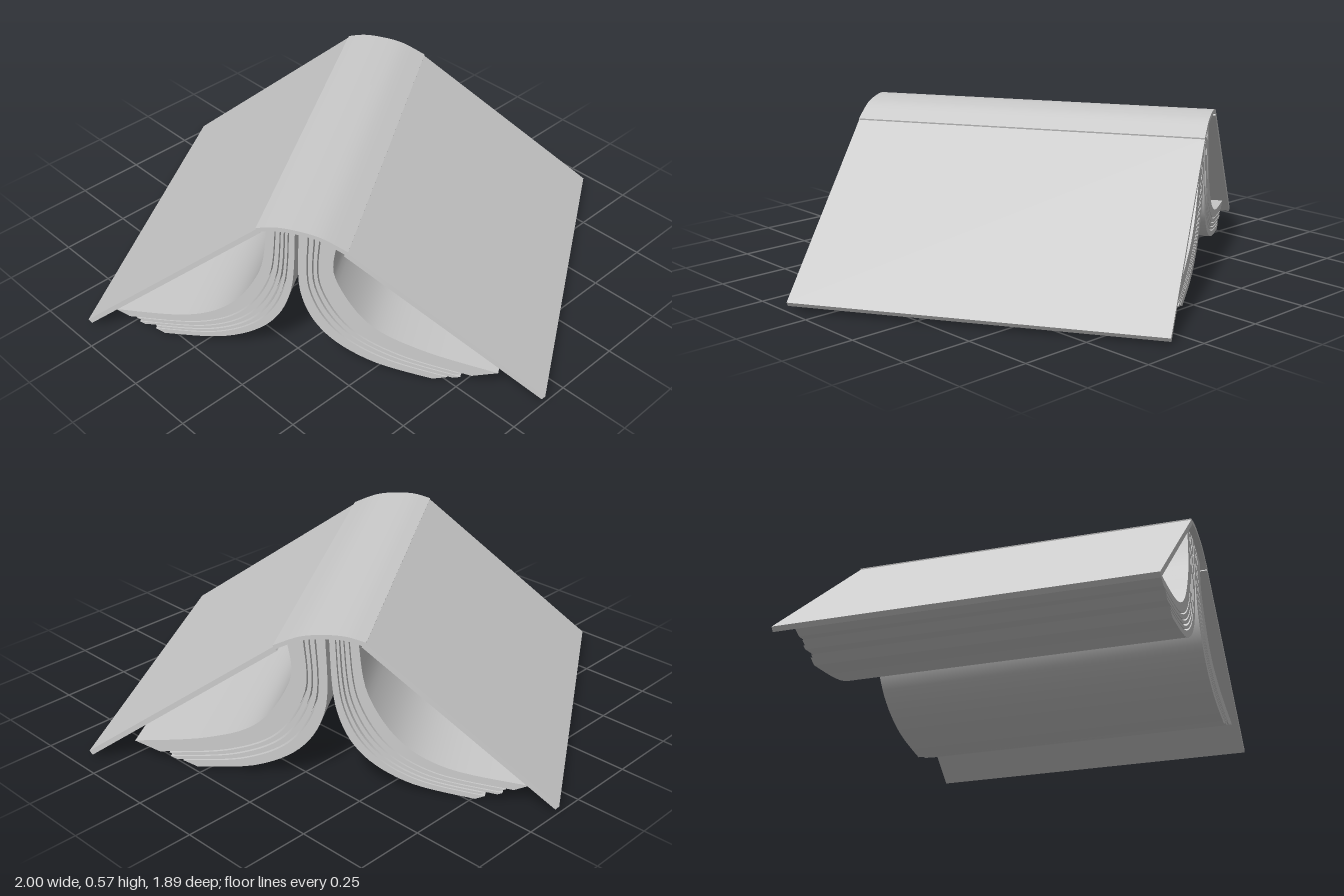
import * as THREE from 'three';
import { toCreasedNormals } from 'three/addons/utils/BufferGeometryUtils.js';

const material = new THREE.MeshStandardMaterial({ color: 0xcccccc, side: THREE.DoubleSide });
const curve = (pts) => new THREE.SplineCurve(pts.map(([x, y]) => new THREE.Vector2(x, y)));

// Closed cross-section extruded along the spine direction, centred on z = 0
function prism(name, points, length) {
  const raw = new THREE.ExtrudeGeometry(new THREE.Shape(points), { depth: length, bevelEnabled: false });
  raw.translate(0, 0, -length / 2);
  const mesh = new THREE.Mesh(toCreasedNormals(raw, 0.5), material);
  mesh.name = name;
  return mesh;
}

// Flat board from hinge to free edge, thickened towards the pages
function cover(name, hinge, edge, side) {
  const a = new THREE.Vector2(...hinge), b = new THREE.Vector2(...edge);
  const d = b.clone().sub(a).normalize();
  const inward = new THREE.Vector2(side * d.y, -side * d.x).multiplyScalar(0.018);
  if (inward.y > 0) inward.negate();
  return prism(name, [a, b, b.clone().add(inward), a.clone().add(inward)], 1.24);
}

// Fanned bundles of pages between an outer and an inner curve: [start, end, reach]
function pages(name, outerPts, innerPts, bundles) {
  const group = new THREE.Group();
  group.name = name;
  const outer = curve(outerPts), inner = curve(innerPts), n = 28;
  bundles.forEach(([t0, t1, reach], i) => {
    const line = (t) => Array.from({ length: n + 1 }, (_, k) => {
      const s = (k / n) * reach;
      return outer.getPoint(s).lerp(inner.getPoint(s), t);
    });
    group.add(prism('pageBundle' + (i + 1), [...line(t0), ...line(t1).reverse()], 1.2));
  });
  return group;
}

export function createModel() {
  const model = new THREE.Group();
  model.name = 'openBook';
  const book = new THREE.Group();
  book.name = 'bookLyingFaceDown';
  // Turned on the ground, front end very slightly raised
  book.rotation.set(-0.006, 0.562, 0, 'YXZ');
  model.add(book);

  // Rounded spine strip
  const top = curve([[-0.163, 0.553], [-0.1, 0.567], [-0.03, 0.566], [0.05, 0.552], [0.137, 0.512]]).getPoints(24);
  const under = top.map((p) => new THREE.Vector2(p.x * 0.97, p.y - 0.015)).reverse();
  book.add(prism('spine', [...top, ...under], 1.24));

  // Covers
  book.add(cover('rightCover', [-0.16, 0.55], [-0.79, 0.034], -1));
  book.add(cover('leftCover', [0.134, 0.508], [0.795, 0.036], 1));

  // Page blocks on each side
  book.add(pages('rightPages',
    [[-0.135, 0.537], [-0.165, 0.36], [-0.27, 0.2], [-0.43, 0.115], [-0.69, 0.085]],
    [[-0.04, 0.55], [-0.06, 0.3], [-0.14, 0.14], [-0.3, 0.045], [-0.53, 0.01]],
    [[0, 0.3, 1], [0.34, 0.48, 0.97], [0.52, 0.62, 1], [0.67, 0.76, 0.95], [0.8, 1, 0.98]]));
  book.add(pages('leftPages',
    [[0.095, 0.515], [0.09, 0.38], [0.2, 0.21], [0.38, 0.13], [0.635, 0.085]],
    [[-0.028, 0.548], [-0.028, 0.3], [0.05, 0.14], [0.21, 0.045], [0.43, 0.009]],
    [[0, 0.42, 1], [0.46, 0.56, 0.96], [0.6, 0.72, 1], [0.76, 1, 0.98]]));
  return model;
}
